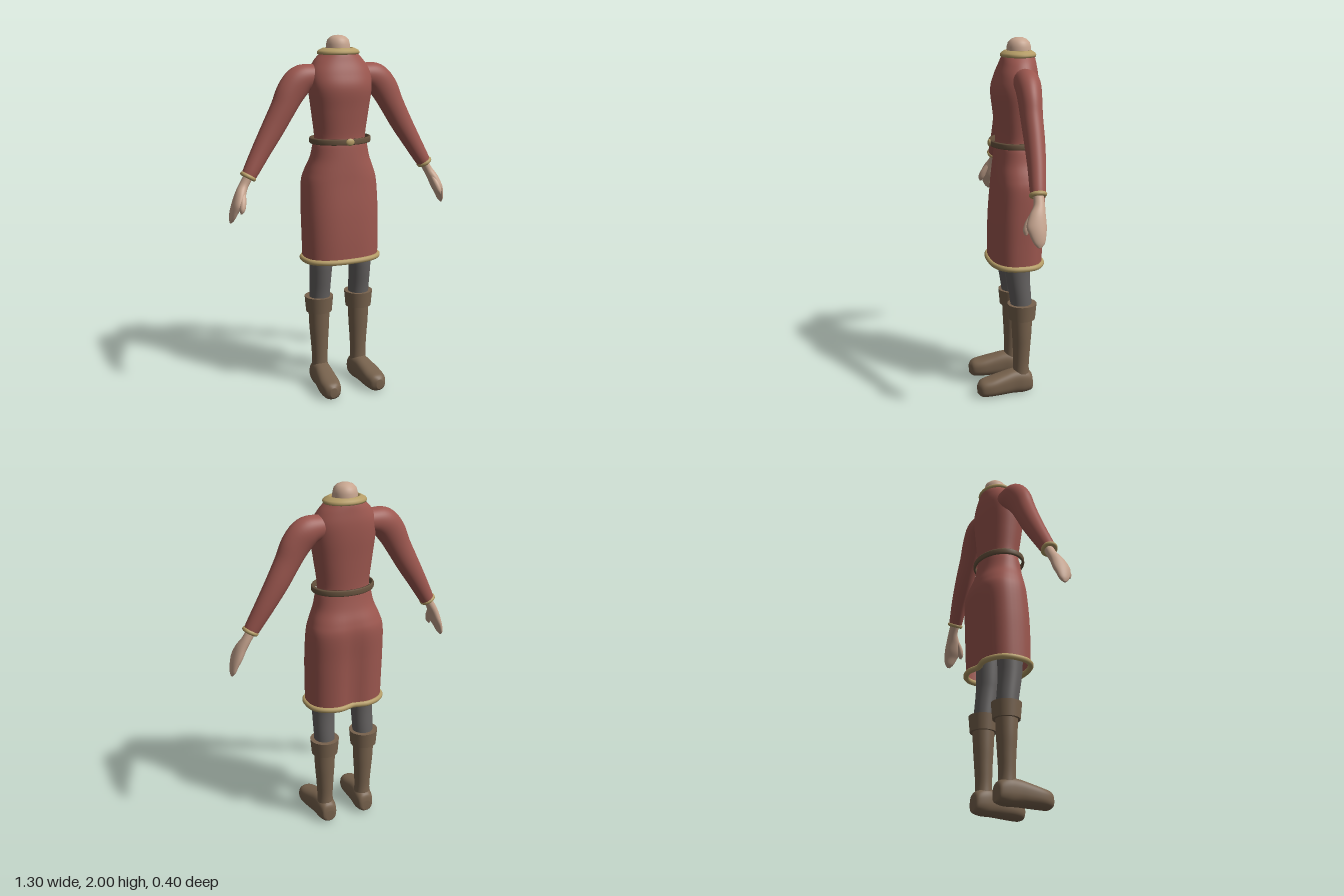
import * as THREE from 'three';

const mat = (name, color, side = THREE.FrontSide) => {
  const m = new THREE.MeshStandardMaterial({ color, side });
  m.name = name;
  return m;
};
const X = new THREE.Vector3(1, 0, 0), Y = new THREE.Vector3(0, 1, 0), Z = new THREE.Vector3(0, 0, 1);
const SEG = 48;

// Smooth interpolation between rows of numbers
function refine(rows, n) {
  const out = [], at = i => rows[Math.max(0, Math.min(rows.length - 1, i))];
  for (let i = 0; i < rows.length - 1; i++)
    for (let k = 0; k < n; k++) {
      const t = k / n;
      out.push(rows[i].map((p, c) => {
        const m0 = (at(i + 1)[c] - at(i - 1)[c]) / 2, m1 = (at(i + 2)[c] - p) / 2, q = at(i + 1)[c];
        return p + m0 * t + (3 * (q - p) - 2 * m0 - m1) * t * t + (2 * (p - q) + m0 + m1) * t * t * t;
      }));
    }
  out.push(rows[rows.length - 1]);
  return out;
}

// One cross-section. Row: x, y, z, half width, half depth, squareness exponent, rear fold
function ring([x, y, z, a, b, e = 1, fold = 0], T, B) {
  const w = new THREE.Vector3().crossVectors(B, T).normalize(), pts = [];
  const pow = v => Math.sign(v) * Math.abs(v) ** e;
  for (let j = 0; j < SEG; j++) {
    const t = (j / SEG) * Math.PI * 2, u = a * pow(Math.cos(t));
    let v = b * pow(Math.sin(t));
    if (v < 0) v *= 1 - fold * Math.exp(-((u / 0.055) ** 2));
    const p = new THREE.Vector3(x, y, z).addScaledVector(w, u).addScaledVector(B, v);
    p.y = Math.max(0, p.y);
    pts.push(p);
  }
  return pts;
}

// Skin over cross-sections that follow a path
function loft(rows, B = Z, capStart = true, n = 5) {
  const rs = refine(rows, n), pos = [], idx = [];
  const c = i => new THREE.Vector3(...rs[Math.max(0, Math.min(rs.length - 1, i))].slice(0, 3));
  rs.forEach((r, i) => {
    const T = c(i + 1).sub(c(i - 1)).normalize();
    ring(r, T, B).forEach(p => pos.push(p.x, p.y, p.z));
  });
  const last = (rs.length - 1) * SEG, s = rs.length * SEG;
  pos.push(...c(0).toArray(), ...c(rs.length - 1).toArray());
  for (let j = 0; j < SEG; j++) {
    const k = (j + 1) % SEG;
    for (let i = 0; i < last; i += SEG)
      idx.push(i + j, i + k, i + SEG + j, i + k, i + SEG + k, i + SEG + j);
    if (capStart) idx.push(s, k, j);
    idx.push(s + 1, last + j, last + k);
  }
  const g = new THREE.BufferGeometry();
  g.setAttribute('position', new THREE.Float32BufferAttribute(pos, 3));
  g.setIndex(idx);
  g.computeVertexNormals();
  return g;
}

function mirrored(geo) {
  const g = geo.clone().scale(-1, 1, 1), ix = g.index;
  for (let i = 0; i < ix.count; i += 3) {
    const t = ix.getX(i);
    ix.setX(i, ix.getX(i + 1));
    ix.setX(i + 1, t);
  }
  return g;
}

const lathe = pts => new THREE.LatheGeometry(pts.map(p => new THREE.Vector2(...p)), SEG);

export function createModel() {
  const cloth = mat('red cloth', 0x9c574f, THREE.DoubleSide);
  const gold = mat('gold trim', 0xb49c66);
  const skin = mat('skin', 0xc8a690);
  const grey = mat('grey trousers', 0x63605f);
  const leather = mat('boot leather', 0x77624d);
  const beltMat = mat('belt leather', 0x69543f, THREE.DoubleSide);
  const root = new THREE.Group();
  const add = (name, geo, m) => {
    const mesh = new THREE.Mesh(geo, m);
    mesh.name = name;
    root.add(mesh);
    return mesh;
  };
  const pair = (name, geo, m) => {
    add(name + 'Left', geo, m);
    add(name + 'Right', mirrored(geo), m);
  };

  // Tunic: height, half width, front z, back z, squareness, rear fold
  const tunic = [
    [0.77, 0.217, 0.106, -0.182, 0.8, 0.17],
    [0.9, 0.219, 0.106, -0.188, 0.8, 0.16],
    [1.05, 0.22, 0.1, -0.195, 0.8, 0.13],
    [1.2, 0.215, 0.088, -0.203, 0.82, 0.07],
    [1.27, 0.197, 0.083, -0.19, 0.85, 0.03],
    [1.34, 0.17, 0.077, -0.165, 0.9, 0],
    [1.41, 0.157, 0.07, -0.15, 0.95, 0],
    [1.46, 0.146, 0.063, -0.145, 0.95, 0],
    [1.6, 0.163, 0.076, -0.152, 0.9, 0],
    [1.72, 0.178, 0.088, -0.16, 0.88, 0],
    [1.8, 0.175, 0.068, -0.16, 0.9, 0],
    [1.86, 0.145, 0.045, -0.153, 0.95, 0],
    [1.9, 0.108, 0.03, -0.146, 1, 0],
    [1.92, 0.088, 0.015, -0.135, 1, 0],
  ].map(([y, rx, f, b, e, d]) => [0, y, (f + b) / 2, rx, (f - b) / 2, e, d]);
  add('tunic', loft(tunic, Z, false), cloth);

  // Hem trim follows the skirt edge
  const hemCurve = new THREE.CatmullRomCurve3(ring(tunic[0], Y, Z), true);
  add('hemTrim', new THREE.TubeGeometry(hemCurve, 96, 0.0155, 10, true), gold);

  // Neck and collar
  add('neck', lathe([[0.06, 1.86], [0.068, 1.91], [0.065, 1.95], [0.058, 1.975],
    [0.042, 1.99], [0.022, 1.998], [0, 2]]), skin).position.z = -0.062;
  const collar = add('collar', lathe([[0.1, 1.895], [0.117, 1.9], [0.12, 1.91], [0.113, 1.919],
    [0.088, 1.932], [0.078, 1.932], [0.074, 1.92], [0.08, 1.9]]), gold);
  collar.scale.z = 0.8;
  collar.position.z = -0.058;

  // Loose belt with a round buckle
  const belt = add('belt', lathe([[0.162, 1.422], [0.172, 1.422], [0.176, 1.428], [0.176, 1.448],
    [0.172, 1.454], [0.162, 1.454], [0.162, 1.422]]), beltMat);
  belt.scale.z = 0.77;
  belt.position.z = -0.035;
  const buckle = add('buckle', new THREE.SphereGeometry(0.025, 16, 12), gold);
  buckle.scale.set(1, 0.8, 0.4);
  buckle.position.set(0, 1.438, 0.1);

  // Sleeves
  pair('sleeve', loft([
    [0.06, 1.785, -0.06, 0.06, 0.06],
    [0.15, 1.783, -0.06, 0.066, 0.064],
    [0.222, 1.765, -0.06, 0.08, 0.067],
    [0.278, 1.705, -0.057, 0.08, 0.062],
    [0.325, 1.62, -0.055, 0.07, 0.057],
    [0.385, 1.515, -0.055, 0.063, 0.053],
    [0.455, 1.4, -0.05, 0.053, 0.047],
    [0.515, 1.3, -0.041, 0.044, 0.041],
    [0.538, 1.262, -0.038, 0.038, 0.037],
  ]), cloth);
  const cuff = new THREE.TorusGeometry(0.034, 0.012, 10, 32);
  cuff.applyQuaternion(new THREE.Quaternion().setFromUnitVectors(Z, new THREE.Vector3(0.5, -0.866, 0)));
  pair('sleeveCuff', cuff.translate(0.535, 1.27, -0.038), gold);

  // Mitten-like hands with thumbs
  pair('hand', loft([
    [0.53, 1.275, -0.04, 0.025, 0.027],
    [0.56, 1.225, -0.038, 0.025, 0.029],
    [0.585, 1.18, -0.023, 0.028, 0.042],
    [0.607, 1.13, -0.014, 0.027, 0.051],
    [0.625, 1.09, -0.017, 0.021, 0.042],
    [0.638, 1.05, -0.021, 0.014, 0.028],
    [0.645, 1.028, -0.022, 0.004, 0.008],
  ]), skin);
  pair('thumb', loft([
    [0.57, 1.2, -0.015, 0.012, 0.015],
    [0.585, 1.15, 0.018, 0.018, 0.02],
    [0.595, 1.11, 0.034, 0.016, 0.018],
    [0.602, 1.085, 0.038, 0.004, 0.006],
  ]), skin);

  // Trouser legs
  pair('trouserLeg', loft([
    [0.122, 0.46, -0.055, 0.057, 0.058],
    [0.122, 0.56, -0.05, 0.059, 0.06],
    [0.121, 0.68, -0.036, 0.062, 0.065],
    [0.119, 0.78, -0.032, 0.066, 0.07],
    [0.116, 1.1, -0.035, 0.075, 0.08],
  ]), grey);

  // Boots: shaft, turned-down top and foot
  pair('bootShaft', loft([
    [0.121, 0.06, -0.055, 0.05, 0.052],
    [0.122, 0.15, -0.053, 0.045, 0.045],
    [0.123, 0.26, -0.055, 0.05, 0.049],
    [0.124, 0.36, -0.056, 0.057, 0.055],
    [0.124, 0.47, -0.056, 0.061, 0.06],
  ]), leather);
  pair('bootTop', new THREE.CylinderGeometry(0.082, 0.074, 0.09, 40).translate(0.124, 0.495, -0.057), leather);
  pair('bootFoot', loft([
    [0.12, 0.045, -0.12, 0.025, 0.03, 0.8],
    [0.12, 0.06, -0.108, 0.045, 0.055, 0.8],
    [0.121, 0.068, -0.06, 0.056, 0.072, 0.8],
    [0.126, 0.069, 0, 0.055, 0.07, 0.8],
    [0.132, 0.062, 0.06, 0.058, 0.063, 0.78],
    [0.138, 0.053, 0.13, 0.06, 0.054, 0.78],
    [0.142, 0.047, 0.18, 0.048, 0.047, 0.8],
    [0.143, 0.045, 0.203, 0.02, 0.028, 0.9],
  ], Y), leather);

  return root;
}
